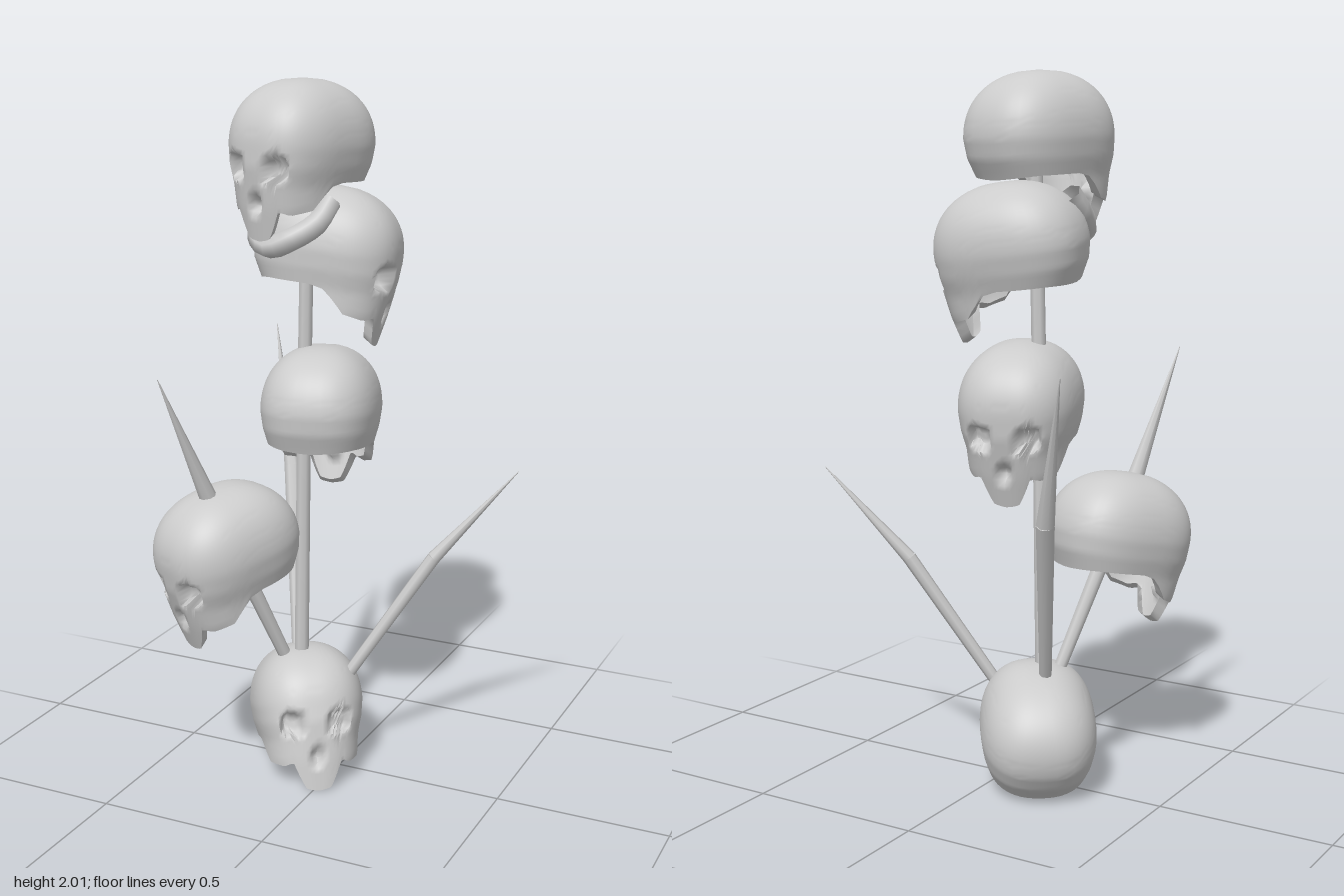
import * as THREE from 'three';
import { mergeVertices, toCreasedNormals } from 'three/addons/utils/BufferGeometryUtils.js';

const material = new THREE.MeshStandardMaterial({ color: 0xcccccc, side: THREE.DoubleSide });
const rad = THREE.MathUtils.degToRad;
const { lerp, smoothstep } = THREE.MathUtils;

// Lower skull profile by height: y, half width, front reach, back reach
const PROFILE = [
  [-0.04, 0.165, 0.207, 0.213], [-0.09, 0.158, 0.207, 0.203], [-0.14, 0.144, 0.198, 0.177],
  [-0.2, 0.14, 0.188, 0.15], [-0.29, 0.11, 0.17, 0.14],
];
// Lower edge by angle away from the face: teeth, cheekbones, open base
const RIM = [
  [0, -0.29], [13, -0.283], [19, -0.255], [25, -0.205], [40, -0.215], [64, -0.202], [86, -0.132], [130, -0.135], [180, -0.146],
];

// Linear lookup in a table sorted by its first column
function lookup(table, key, column) {
  for (let i = 1; i < table.length; i++) {
    const a = table[i - 1], b = table[i];
    const t = (key - a[0]) / (b[0] - a[0]);
    if (t <= 1) return lerp(a[column], b[column], Math.max(t, 0));
  }
  return table[table.length - 1][column];
}

const soften = (v) => Math.sign(v) * Math.pow(Math.abs(v), 0.78);

function skullPoint(angle, s) {
  const turn = Math.abs(angle > 180 ? angle - 360 : angle);
  const y = 0.14 - s * (0.14 - lookup(RIM, turn, 1));
  const c = Math.cos(rad(angle));
  // rounded dome above the widest line
  const rise = Math.max(y + 0.04, 0) / 0.18;
  const dome = Math.pow(Math.max(0, 1 - Math.pow(rise, 2.2)), 1 / 2.2);
  const x = dome * lookup(PROFILE, y, 1) * soften(Math.sin(rad(angle)));
  let z = dome * lookup(PROFILE, y, c > 0 ? 2 : 3) * soften(c);
  if (turn < 70) {
    // squarish eye sockets and wedge-shaped nose opening
    const eye = Math.hypot(((Math.abs(x) - 0.066) / 0.038) ** 2, ((y + 0.1 - Math.abs(x) * 0.1) / 0.036) ** 2);
    const nose = Math.hypot(x / 0.026, (y + 0.19) / 0.036);
    z -= 0.05 * (1 - smoothstep(eye, 0.3, 1)) + 0.035 * (1 - smoothstep(nose, 0.35, 1));
  }
  return [x, y, z];
}

function skullGeometry() {
  const columns = 60, rows = 32, positions = [], index = [];
  for (let i = 0; i <= rows + 1; i++) {
    for (let j = 0; j < columns; j++) {
      // columns crowd together towards the face
      const t = (j * 360) / columns;
      const p = skullPoint(t - 26 * Math.sin(rad(t)), Math.pow(Math.min(i, rows) / rows, 1.2));
      // last row folds inward as the thickness of the bone
      if (i > rows) { p[0] *= 0.84; p[2] *= 0.84; p[1] += 0.015; }
      positions.push(...p);
    }
  }
  for (let i = 0; i <= rows; i++) {
    for (let j = 0; j < columns; j++) {
      const a = i * columns + j, d = i * columns + ((j + 1) % columns);
      if (i > 0) index.push(a, a + columns, d);
      index.push(d, a + columns, d + columns);
    }
  }
  const geometry = new THREE.BufferGeometry();
  geometry.setAttribute('position', new THREE.Float32BufferAttribute(positions, 3));
  geometry.setIndex(index);
  return toCreasedNormals(mergeVertices(geometry), rad(85));
}

// Curved lower jaw
function jawGeometry() {
  const side = [[0.108, -0.185, 0.0], [0.103, -0.24, 0.05], [0.06, -0.285, 0.11]];
  const points = [
    ...side.map(([x, y, z]) => new THREE.Vector3(-x, y, z)),
    new THREE.Vector3(0, -0.31, 0.13),
    ...side.reverse().map(([x, y, z]) => new THREE.Vector3(x, y, z)),
  ];
  return new THREE.TubeGeometry(new THREE.CatmullRomCurve3(points), 18, 0.031, 6);
}

// Tapered shaft running through a list of [x, y, z, radius]
function shaft(name, stops) {
  const group = new THREE.Group();
  group.name = name;
  for (let i = 1; i < stops.length; i++) {
    const a = new THREE.Vector3(...stops[i - 1].slice(0, 3));
    const b = new THREE.Vector3(...stops[i].slice(0, 3));
    const along = b.clone().sub(a);
    const part = new THREE.Mesh(
      new THREE.CylinderGeometry(stops[i][3], stops[i - 1][3], along.length(), 8), material);
    part.name = name + 'Section';
    part.position.copy(a).add(b).multiplyScalar(0.5);
    part.quaternion.setFromUnitVectors(new THREE.Vector3(0, 1, 0), along.normalize());
    group.add(part);
  }
  return group;
}

export function createModel() {
  const model = new THREE.Group();
  model.name = 'skullTotem';

  // Skulls: name, position, yaw, forward pitch, roll
  const skull = skullGeometry();
  const skulls = [
    ['baseSkull', [-0.135, 0.2, -0.045], 35, -22, 0],
    ['sideSkull', [-0.27, 0.745, 0.193], -26, 11, 0],
    ['lowerSkull', [-0.06, 1.13, -0.015], 194, 6, 0],
    ['upperSkull', [-0.075, 1.567, -0.107], 98, 6, -7],
    ['topSkull', [-0.125, 1.86, -0.03], -15, -2, 0],
  ];
  for (const [name, position, yaw, pitch, roll] of skulls) {
    const group = new THREE.Group();
    group.name = name;
    group.position.set(...position);
    group.rotation.set(rad(pitch), rad(yaw), rad(roll), 'YXZ');
    const bone = new THREE.Mesh(skull, material);
    bone.name = 'cranium';
    group.add(bone);
    if (name === 'topSkull') {
      const jaw = new THREE.Mesh(jawGeometry(), material);
      jaw.name = 'lowerJaw';
      group.add(jaw);
    }
    model.add(group);
  }

  // Central pole and three outward spikes
  model.add(shaft('pole', [[-0.125, 0.22, 0, 0.022], [-0.11, 1.1, 0, 0.021], [-0.092, 1.85, 0, 0.02]]));
  model.add(shaft('leftSpike', [[-0.01, 0.24, -0.02, 0.017], [0.235, 0.64, -0.145, 0.02], [0.45, 0.9, -0.25, 0.001]]));
  model.add(shaft('backSpike', [[-0.15, 0.27, -0.03, 0.017], [-0.285, 0.82, -0.27, 0.026], [-0.4, 1.23, -0.4, 0.001]]));
  model.add(shaft('frontSpike', [[-0.15, 0.28, 0.01, 0.018], [-0.285, 0.85, 0.24, 0.026], [-0.35, 1.23, 0.395, 0.001]]));
  return model;
}
